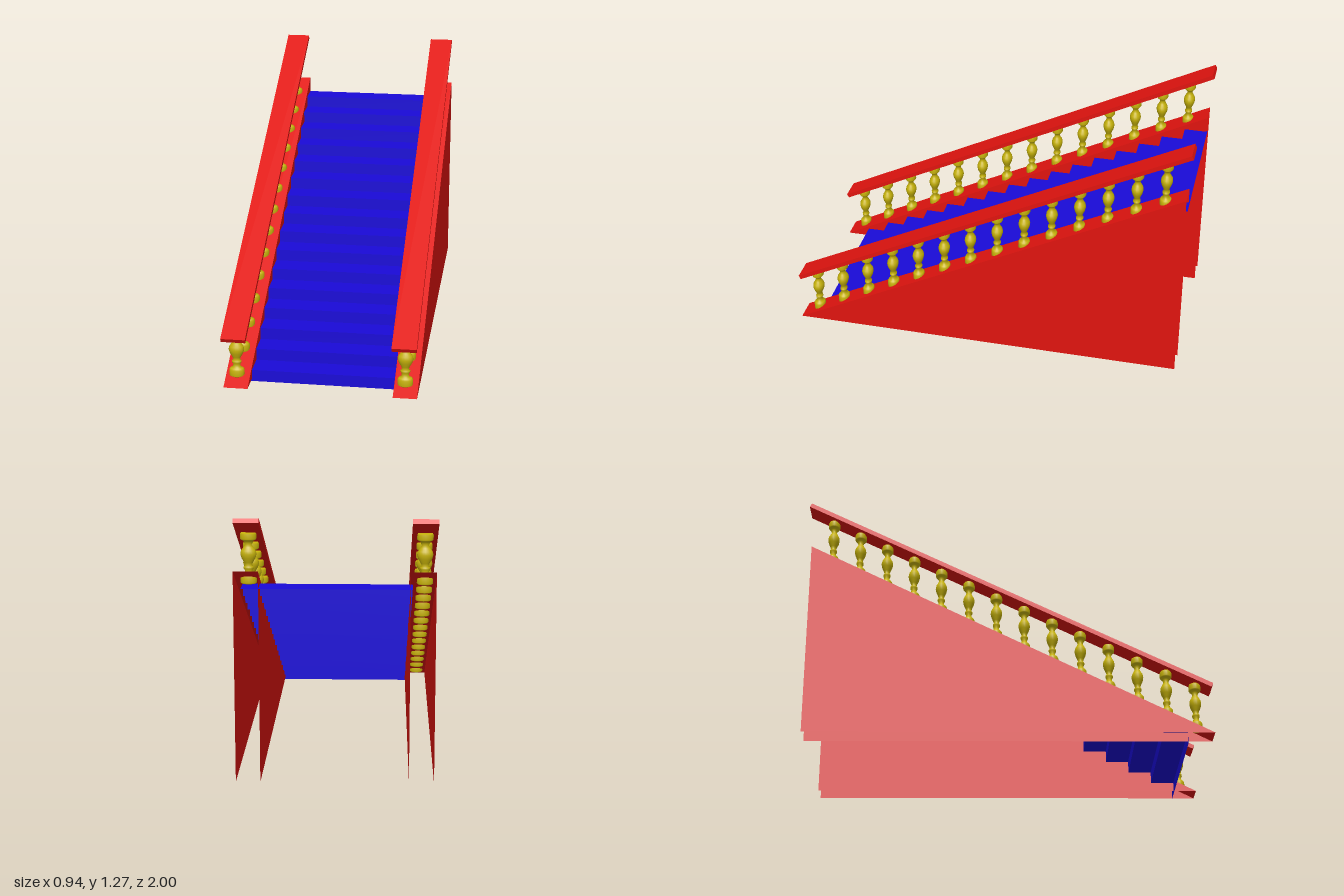
import * as THREE from 'three';

const mat = (color, side = THREE.FrontSide) => new THREE.MeshStandardMaterial({ color, side });

// Flat-faced sheet swept across x along a path of [z, y] points
function ribbon(path, x0, x1) {
  const pos = [];
  for (let i = 0; i + 1 < path.length; i++) {
    const [z0, y0] = path[i], [z1, y1] = path[i + 1];
    const a = [x0, y0, z0], b = [x1, y0, z0], c = [x1, y1, z1], d = [x0, y1, z1];
    pos.push(...a, ...b, ...c, ...a, ...c, ...d);
  }
  const g = new THREE.BufferGeometry();
  g.setAttribute('position', new THREE.Float32BufferAttribute(pos, 3));
  g.computeVertexNormals();
  return g;
}

export function createModel() {
  const model = new THREE.Group();
  model.name = 'staircase';
  const red = mat(0xe0140f);
  const redSheet = mat(0xe0140f, THREE.DoubleSide);
  const blue = mat(0x1a0ad8, THREE.DoubleSide);
  const yellow = mat(0xc8b40a, THREE.DoubleSide);

  const add = (parent, name, geometry, material) => {
    const m = new THREE.Mesh(geometry, material);
    m.name = name;
    parent.add(m);
    return m;
  };

  // Steps: one thin zigzag sheet of risers and treads
  const steps = 16, rise = 0.94 / steps, run = 1.865 / steps;
  const zigzag = [[0.88, 0]];
  for (let i = 0; i < steps; i++) {
    zigzag.push([0.88 - i * run, (i + 1) * rise], [0.88 - (i + 1) * run, (i + 1) * rise]);
  }
  add(model, 'steps', ribbon(zigzag, -0.355, 0.43), blue);

  // Side wall outline, and its sloping top
  const foot = [0.997, 0.014], top = [-0.98, 1.02];
  const triangle = new THREE.Shape([
    new THREE.Vector2(...foot),
    new THREE.Vector2(...top),
    new THREE.Vector2(top[0], foot[1]),
  ]);
  const wallSide = new THREE.ShapeGeometry(triangle).rotateY(-Math.PI / 2);

  // Turned baluster, wider across the stair than along it
  const profile = [
    [0, 0.043], [0.025, 0.043], [0.029, 0.048], [0.029, 0.076], [0.024, 0.084], [0.015, 0.09],
    [0.013, 0.105], [0.018, 0.114], [0.018, 0.122], [0.012, 0.129], [0.016, 0.142], [0.025, 0.163],
    [0.029, 0.182], [0.026, 0.198], [0.017, 0.214], [0.012, 0.226], [0.016, 0.235], [0.017, 0.242],
    [0.026, 0.248], [0.029, 0.253], [0.029, 0.275], [0.026, 0.281], [0, 0.281],
  ].map(([r, y]) => new THREE.Vector2(r, y));
  const balusterGeo = new THREE.LatheGeometry(profile, 20).scale(1.3, 1, 1);

  const sides = [
    { name: 'left', wall: [0.35, 0.465], rail: 0.401 },
    { name: 'right', wall: [-0.462, -0.345], rail: -0.411 },
  ];
  for (const { name, wall, rail } of sides) {
    const side = new THREE.Group();
    side.name = name + 'Balustrade';
    model.add(side);

    // Hollow wall, open underneath and at the back
    add(side, 'wallTop', ribbon([foot, top], ...wall), redSheet);
    add(side, 'wallFaceA', wallSide, redSheet).position.x = wall[0];
    add(side, 'wallFaceB', wallSide, redSheet).position.x = wall[1];

    // Sloping handrail
    const handrail = add(side, 'handrail', new THREE.BoxGeometry(0.118, 0.022, 2.226), red);
    handrail.position.set(rail, 0.757, 0);
    handrail.rotation.x = Math.atan(0.501);

    // Row of balusters climbing the wall
    for (let i = 0; i < 14; i++) {
      add(side, 'baluster', balusterGeo, yellow).position.set(rail, i * 0.0692, 0.915 - i * 0.1377);
    }
  }
  return model;
}
